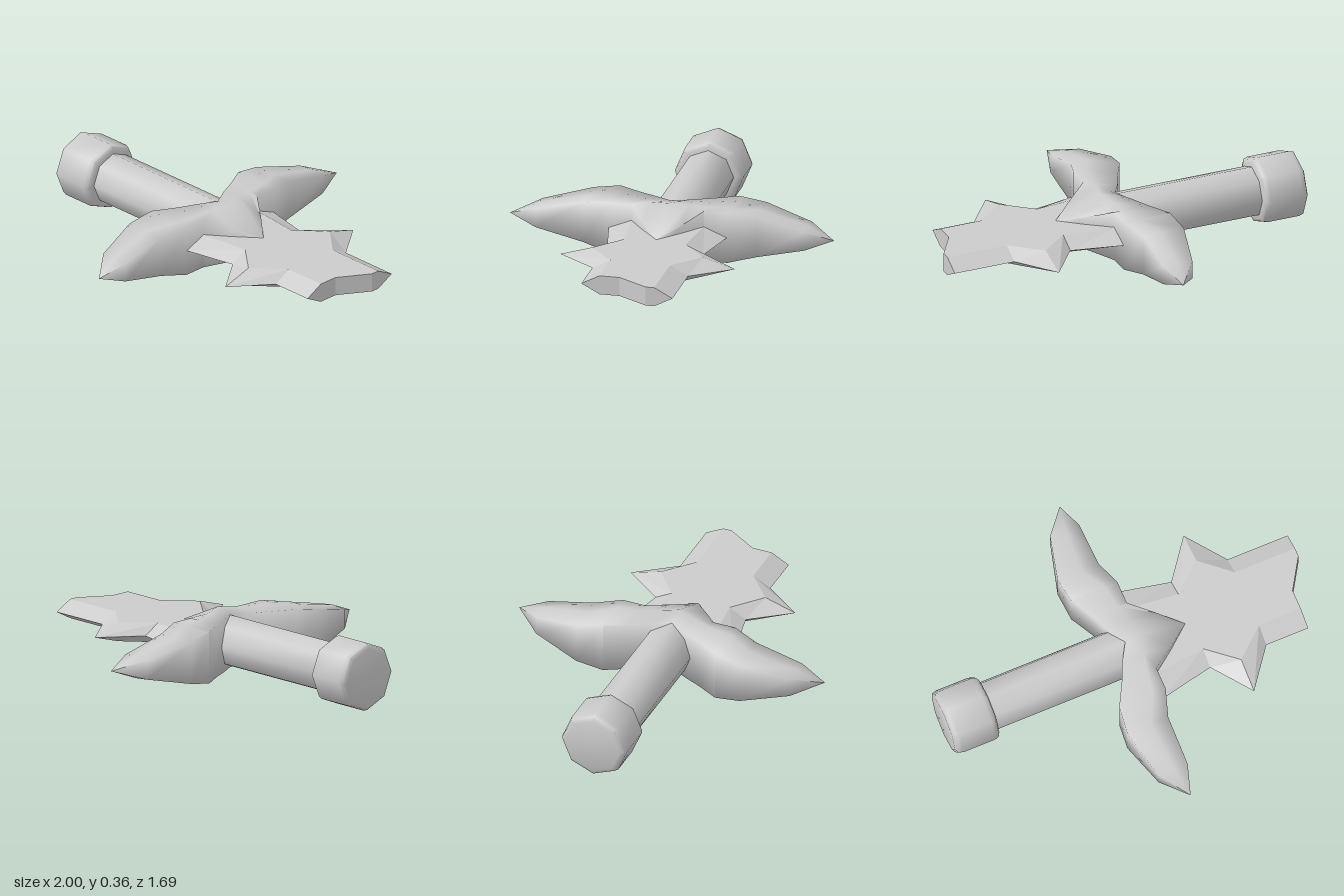
import * as THREE from 'three';
import { toCreasedNormals } from 'three/addons/utils/BufferGeometryUtils.js';

const MID = 0.185; // height of the sword's long axis
const material = new THREE.MeshStandardMaterial({ color: 0xcccccc });

// Skin a list of equal-sized rings; ends are closed with strips from top to bottom
function loft(rings) {
  const n = rings[0].length, index = [];
  for (let r = 0; r < rings.length - 1; r++) {
    for (let i = 0; i < n; i++) {
      const a = r * n + i, b = r * n + (i + 1) % n;
      index.push(a, b, a + n, b, b + n, a + n);
    }
  }
  const last = (rings.length - 1) * n;
  for (let i = 0; i < n / 2; i++) {
    const a = i, b = i + 1, c = n - i - 1, d = (n - i) % n;
    index.push(a, c, b, a, d, c);
    index.push(last + a, last + b, last + c, last + a, last + c, last + d);
  }
  const geometry = new THREE.BufferGeometry();
  geometry.setAttribute('position', new THREE.Float32BufferAttribute(rings.flat(2), 3));
  geometry.setIndex(index);
  return geometry;
}

// Eight-sided turned part along x, from [radius, x] points
function turned(points) {
  const profile = points.map(([r, x]) => new THREE.Vector2(r, x));
  const geometry = new THREE.LatheGeometry(profile, 8);
  geometry.rotateZ(-Math.PI / 2);
  return toCreasedNormals(geometry, 0.95);
}

function makeGuard() {
  // [z, back x, ridge x, front x, back and ridge half heights, front half height]
  const half = [
    [0, 0, 0.09, 0.33, 0.14, 0.16, 0.05],
    [0.1, -0.06, 0.06, 0.21, 0.135, 0.147, 0.09],
    [0.19, -0.1, 0.04, 0.09, 0.135, 0.135, 0.135],
    [0.31, -0.165, 0.02, 0.09, 0.135, 0.135, 0.135],
    [0.45, -0.18, -0.05, 0.045, 0.108, 0.112, 0.108],
    [0.7, -0.115, -0.03, 0.045, 0.05, 0.058, 0.05],
    [0.845, 0, 0, 0, 0, 0, 0],
  ];
  const mirrored = half.slice(1).reverse().map(([z, ...rest]) => [-z, ...rest]);
  const rings = [...mirrored, ...half].map(([z, back, ridge, front, hb, hr, hf]) => [
    [front, hf, z], [ridge, hr, z], [back, hb, z],
    [back, -hb, z], [ridge, -hr, z], [front, -hf, z],
  ]);
  return toCreasedNormals(loft(rings), 1.65);
}

function makeBlade() {
  const t = 0.05; // half thickness of the flat middle
  // [x, half width of the sharp outline, half width of the flat]
  const stations = [[0.08, 0.31, 0.19], [0.36, 0.25, 0.16], [0.515, 0.455, 0.29],
    [0.67, 0.25, 0.155], [1, 0.25, 0.155]];
  const rings = stations.map(([x, outer, inner], k) => {
    // the tip is snapped off at a slant
    const short = k === stations.length - 1 ? 0.9 : x;
    const flat = [[x, -inner], [x, -0.11], [short, 0.05], [short, inner]];
    return [
      [x, 0, -outer],
      ...flat.map(([px, z]) => [px, t, z]),
      [short, 0, outer],
      ...flat.reverse().map(([px, z]) => [px, -t, z]),
    ];
  });
  const geometry = loft(rings).toNonIndexed();
  geometry.computeVertexNormals();
  return geometry;
}

export function createModel() {
  const group = new THREE.Group();
  const add = (name, geometry) => {
    const mesh = new THREE.Mesh(geometry, material);
    mesh.name = name;
    mesh.position.y = MID;
    group.add(mesh);
  };
  // Rounded pommel
  add('pommel', turned([[0, -1], [0.15, -1], [0.172, -0.99], [0.18, -0.965],
    [0.18, -0.79], [0.172, -0.767], [0.15, -0.757], [0, -0.757]]));
  // Grip running into the guard
  add('grip', turned([[0, -0.78], [0.134, -0.78], [0.134, 0.03], [0, 0.03]]));
  // Crossguard with leaf-shaped arms and a central point
  add('crossguard', makeGuard());
  // Broken blade with one barb on each edge
  add('blade', makeBlade());
  return group;
}
